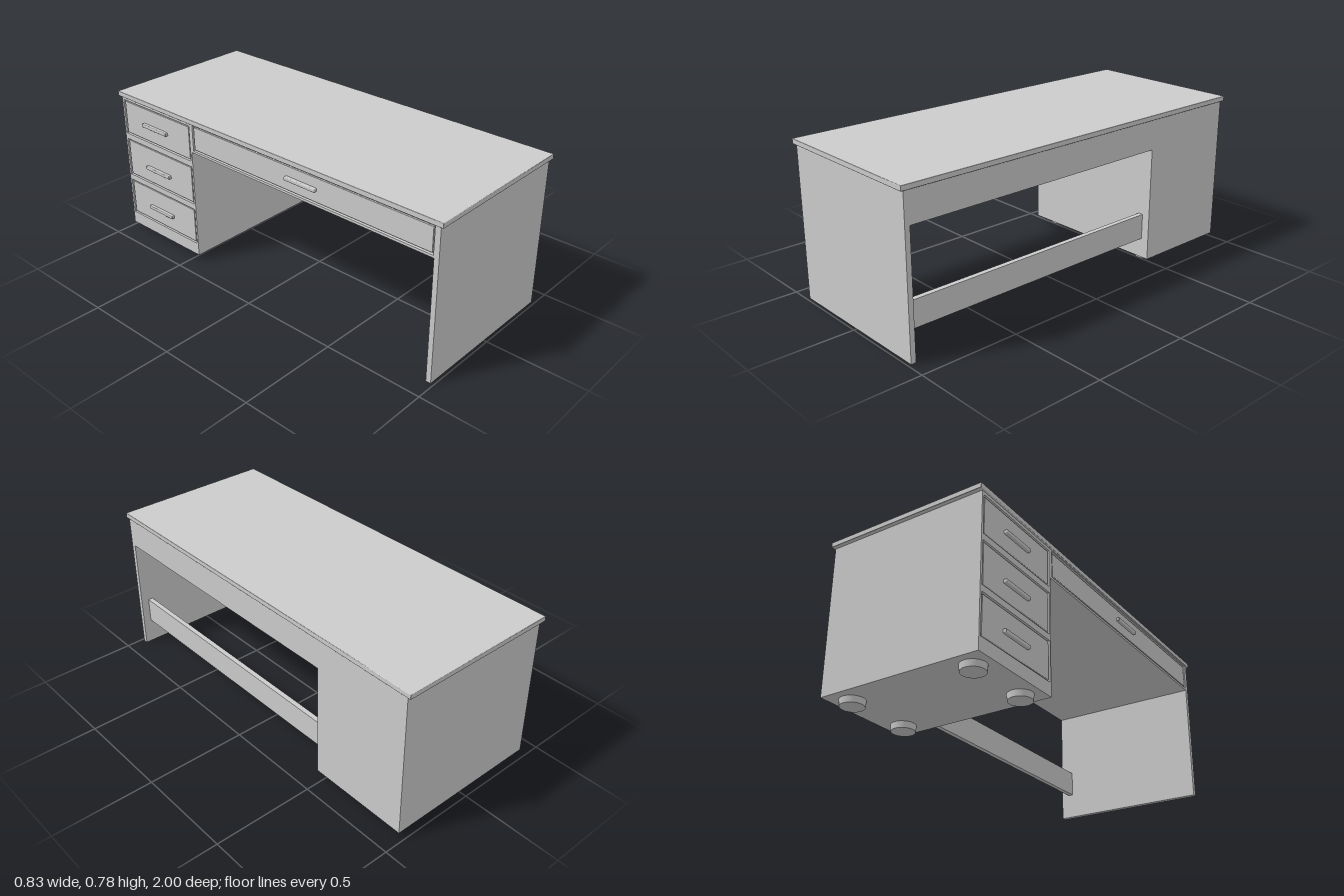
import * as THREE from 'three';
import { RoundedBoxGeometry } from 'three/addons/geometries/RoundedBoxGeometry.js';

const material = new THREE.MeshStandardMaterial({ color: 0xcccccc });

export function createModel() {
  const desk = new THREE.Group();
  desk.name = 'desk';

  const add = (name, geometry, x = 0, y = 0, z = 0) => {
    const mesh = new THREE.Mesh(geometry, material);
    mesh.name = name;
    mesh.position.set(x, y, z);
    desk.add(mesh);
  };

  // Box given by its limits, with slightly softened edges
  const block = (name, [x0, x1], [y0, y1], [z0, z1], radius = 0.003) => add(
    name, new RoundedBoxGeometry(x1 - x0, y1 - y0, z1 - z0, 2, radius),
    (x0 + x1) / 2, (y0 + y1) / 2, (z0 + z1) / 2);

  // Side profile in (z, y): pedestal, drawer housing and end panel in one piece
  const profile = [[-0.98, 0.03], [-0.463, 0.03], [-0.463, 0.605], [0.96, 0.605],
    [0.96, 0], [0.985, 0], [0.985, 0.757], [-0.98, 0.757]];
  const toPoints = (list) => list.map(([z, y]) => new THREE.Vector2(-z, y));
  const extrudeAcross = (shape, x0, x1) =>
    new THREE.ExtrudeGeometry(shape, { depth: x1 - x0, bevelEnabled: false })
      .rotateY(Math.PI / 2).translate(x0, 0, 0);

  // Drawer openings: z range, y range, handle height and centre
  const drawers = [
    { name: 'topDrawer', z: [-0.968, -0.473], y: [0.555, 0.74], handle: [0.645, -0.73] },
    { name: 'middleDrawer', z: [-0.968, -0.473], y: [0.32, 0.525], handle: [0.41, -0.73] },
    { name: 'bottomDrawer', z: [-0.968, -0.473], y: [0.095, 0.29], handle: [0.183, -0.73] },
    { name: 'wideDrawer', z: [-0.45, 0.957], y: [0.617, 0.75], handle: [0.685, 0.25] },
  ];

  add('body', extrudeAcross(new THREE.Shape(toPoints(profile)), -0.385, 0.405));

  // Face frame around the drawers
  const frame = new THREE.Shape(toPoints(profile));
  for (const { z, y } of drawers) {
    frame.holes.push(new THREE.Path(toPoints(
      [[z[0], y[0]], [z[0], y[1]], [z[1], y[1]], [z[1], y[0]]])));
  }
  add('drawerFrame', extrudeAcross(frame, -0.4, -0.385));

  // Drawer fronts with a narrow gap all round, and bar handles
  const gap = 0.007;
  for (const { name, z, y, handle } of drawers) {
    block(name, [-0.398, -0.38], [y[0] + gap, y[1] - gap], [z[0] + gap, z[1] - gap]);
    block(name + 'Handle', [-0.414, -0.394], [handle[0] - 0.009, handle[0] + 0.009],
      [handle[1] - 0.09, handle[1] + 0.09], 0.004);
  }

  block('tabletop', [-0.408, 0.412], [0.755, 0.78], [-1, 1]);

  // Low rail between the pedestal and the end panel
  add('stretcher', new THREE.BoxGeometry(0.025, 0.13, 1.43), 0.351, 0.195, 0.249);

  // Round feet under the pedestal
  for (const x of [-0.308, 0.313]) {
    for (const z of [-0.885, -0.557]) {
      add('foot', new THREE.CylinderGeometry(0.058, 0.055, 0.032, 32), x, 0.016, z);
    }
  }

  return desk;
}
